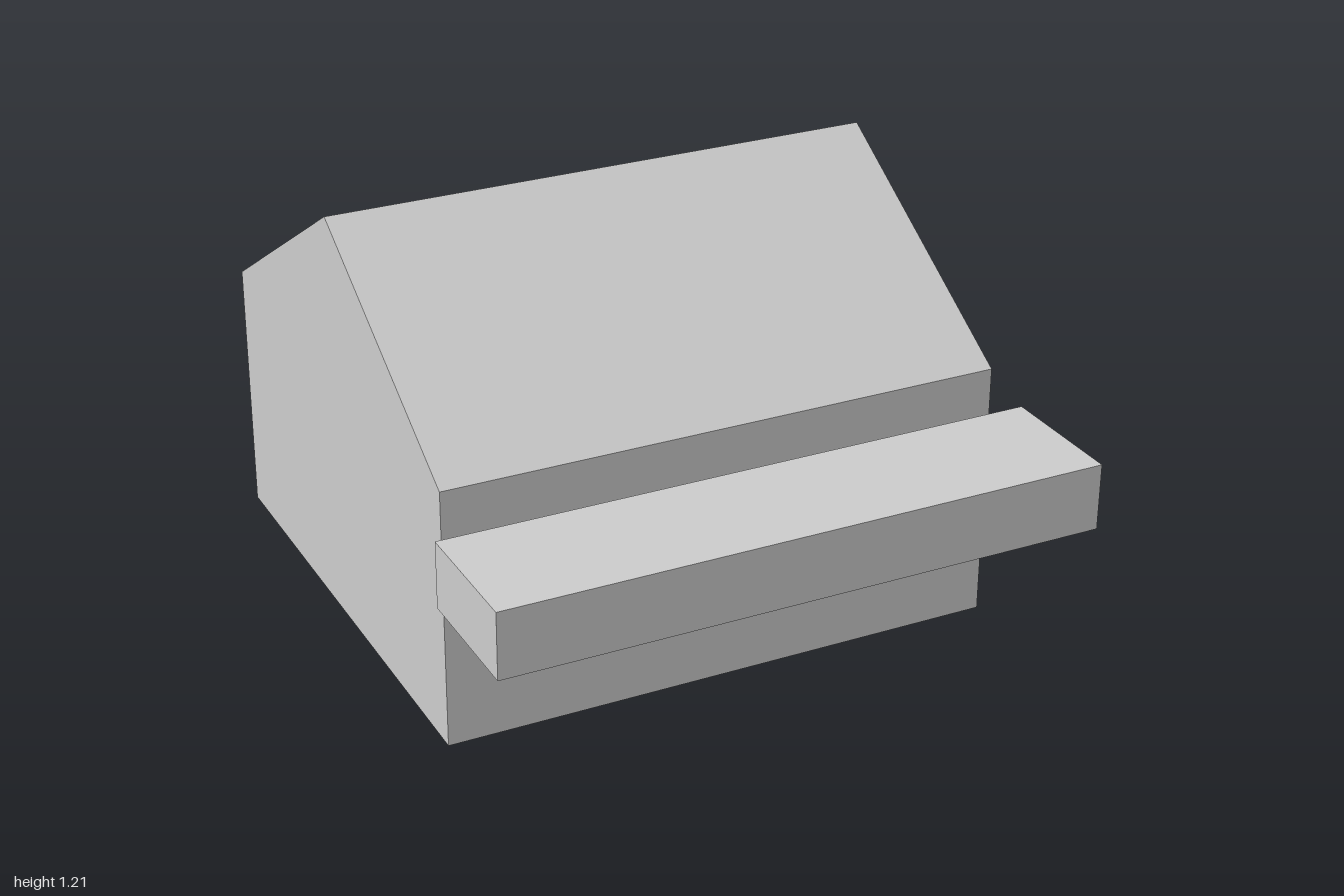
import * as THREE from 'three';

const grey = new THREE.MeshStandardMaterial({ color: 0xcccccc, side: THREE.DoubleSide, flatShading: true });
grey.name = 'plain grey';

// Thin shell from x0 to x1 with no floor. The [z, y] profile runs from the
// front foot up and over to the back foot.
function openShell(name, x0, x1, profile) {
  const points = [];
  const corner = (x, [z, y]) => points.push(x, y, z);
  const last = profile.length - 1;

  // walls and roof panels
  for (let i = 0; i < last; i++) {
    const a = profile[i], b = profile[i + 1];
    corner(x0, a); corner(x1, a); corner(x1, b);
    corner(x0, a); corner(x1, b); corner(x0, b);
  }
  // end walls
  for (let i = 1; i < last; i++) {
    corner(x1, profile[0]); corner(x1, profile[i + 1]); corner(x1, profile[i]);
    corner(x0, profile[0]); corner(x0, profile[i]); corner(x0, profile[i + 1]);
  }

  const geometry = new THREE.BufferGeometry();
  geometry.setAttribute('position', new THREE.Float32BufferAttribute(points, 3));
  geometry.computeVertexNormals();
  const mesh = new THREE.Mesh(geometry, grey);
  mesh.name = name;
  return mesh;
}

export function createModel() {
  const model = new THREE.Group();
  model.name = 'gabledBuilding';

  // Gabled hall, open underneath
  const front = 0.525, back = -1, eave = 0.75, ridge = 1.207;
  model.add(openShell('gabledHall', -0.803, 0.817, [
    [front, 0], [front, eave], [(front + back) / 2, ridge], [back, eave], [back, 0],
  ]));

  // Long box floating in front of the hall, also open underneath
  model.add(openShell('frontCanopy', -0.857, 0.857, [
    [1, 0.48], [1, 0.67], [0.62, 0.67], [0.62, 0.48],
  ]));

  return model;
}
